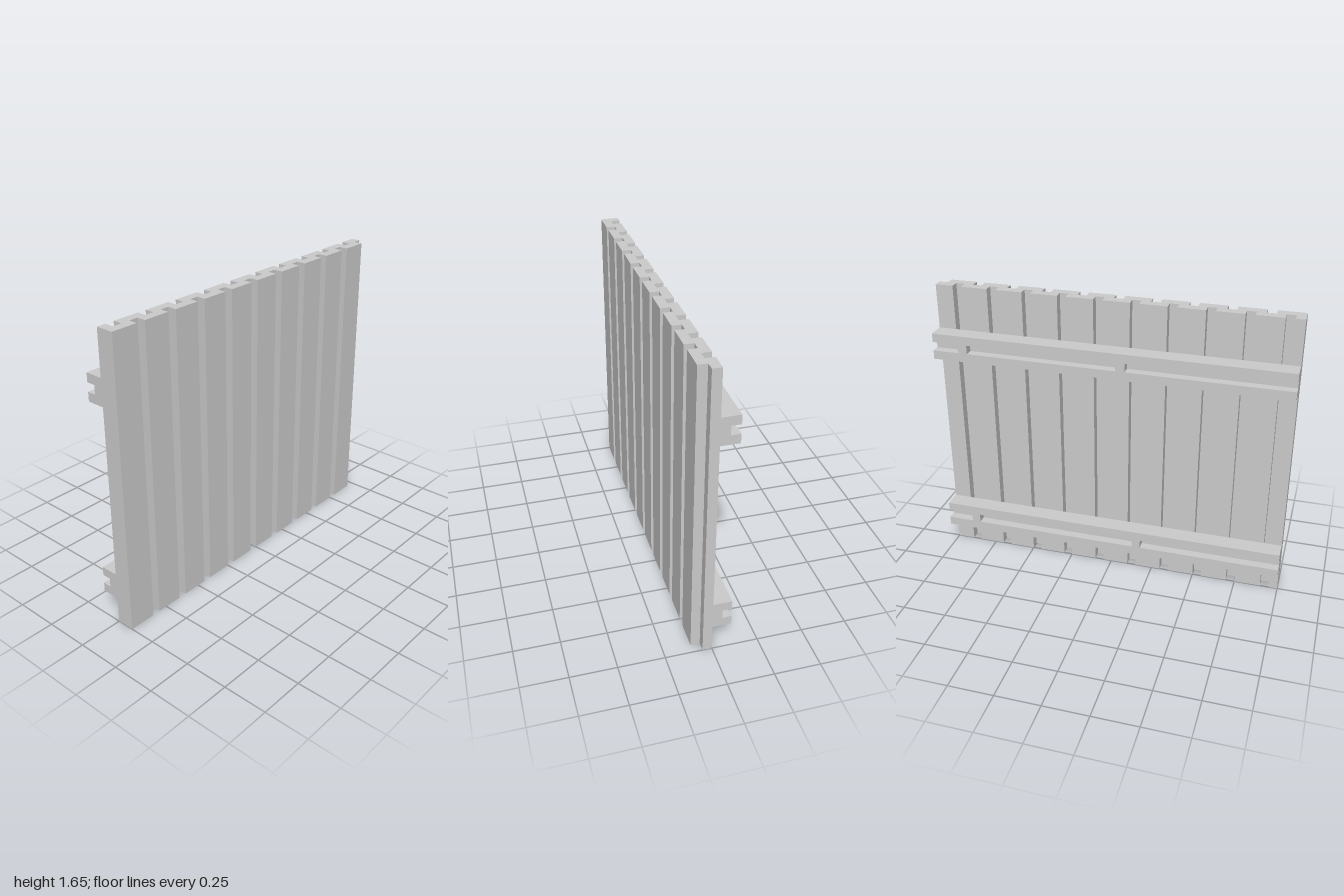
import * as THREE from 'three';

const material = new THREE.MeshStandardMaterial({ color: 0xcccccc, flatShading: true });

function extrude(points, depth) {
  const shape = new THREE.Shape(points.map(([x, y]) => new THREE.Vector2(x, y)));
  return new THREE.ExtrudeGeometry(shape, { depth, bevelEnabled: false });
}

function addMesh(parent, name, geometry) {
  const mesh = new THREE.Mesh(geometry, material);
  mesh.name = name;
  parent.add(mesh);
  return mesh;
}

// Interlocking boards: grooves alternate between the front and back faces
function panelGeometry() {
  const front = [], back = [];
  for (let i = 0; i < 10; i++) {
    const x = -1 + i * 0.2;
    front.push([x, -0.1], [x + 0.15, -0.1], [x + 0.15, -0.05], [x + 0.2, -0.05]);
    back.push([x, 0], [x + 0.05, 0], [x + 0.05, -0.05], [x + 0.1, -0.05], [x + 0.1, 0], [x + 0.2, 0]);
  }
  // Drop the repeated points where neighbouring boards meet on the back
  const cleanBack = back.filter((p, i) => i === 0 || i % 6 !== 0);
  return extrude([...front, ...cleanBack.reverse()], 1.65).rotateX(-Math.PI / 2);
}

// Channel rail with a slot along its back, interrupted by small stops
function makeRail(name, y, stops) {
  const rail = new THREE.Group();
  rail.name = name;
  const profile = [[0, 0], [0.1, 0], [0.1, 0.05], [0.05, 0.05], [0.05, 0.1], [0.1, 0.1], [0.1, 0.15], [0, 0.15]];
  addMesh(rail, 'channel', extrude(profile, 2).rotateY(Math.PI / 2).translate(-1, 0, 0));
  for (const x of stops) {
    addMesh(rail, 'slotStop', new THREE.BoxGeometry(0.05, 0.05, 0.05)).position.set(x, 0.075, -0.075);
  }
  rail.position.y = y;
  return rail;
}

export function createModel() {
  const model = new THREE.Group();
  model.name = 'boardPanel';
  addMesh(model, 'boards', panelGeometry());
  model.add(makeRail('upperRail', 1.25, [0.825, -0.075]));
  model.add(makeRail('lowerRail', 0.15, [0.825, -0.175]));
  return model;
}
